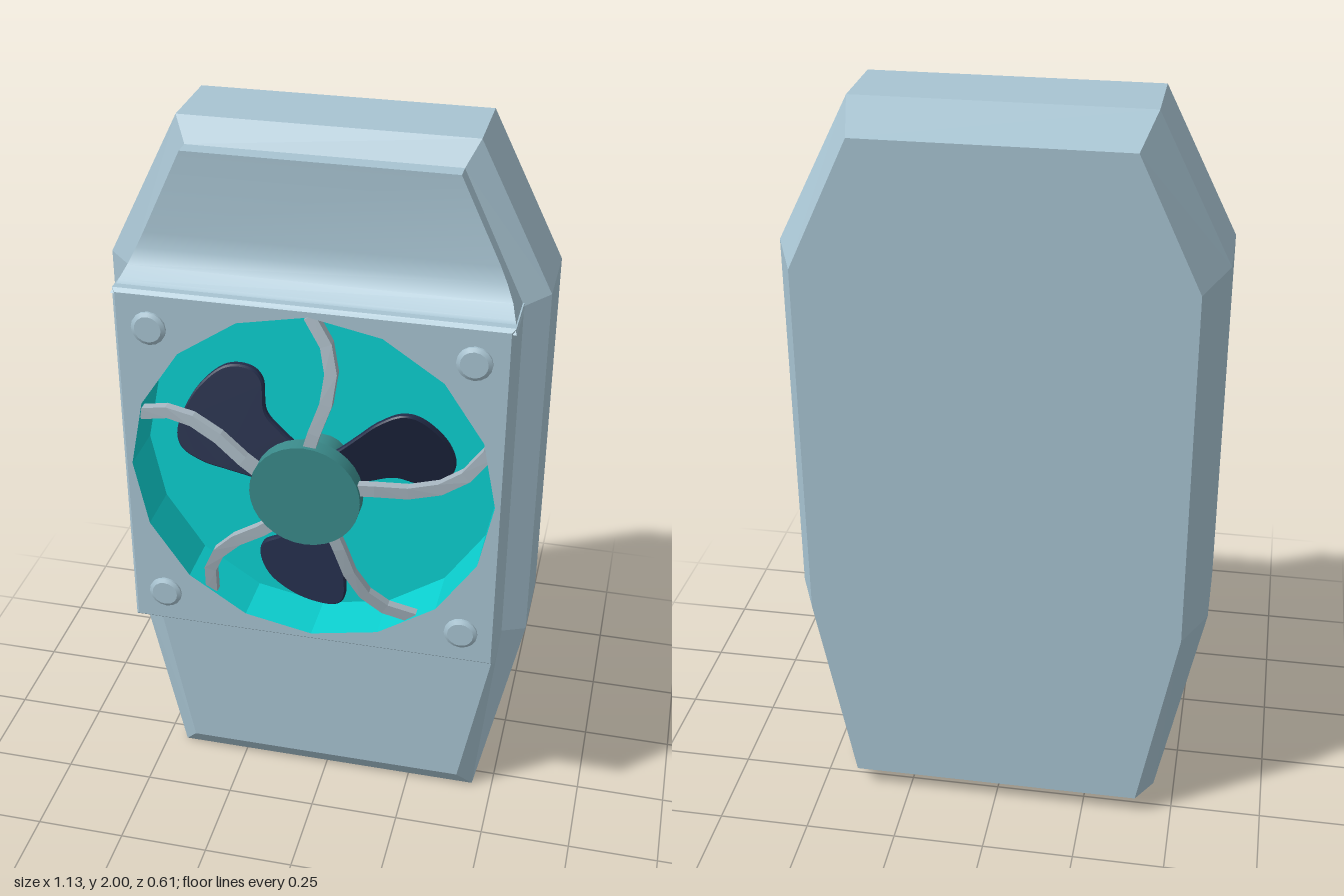
import * as THREE from 'three';
import { toCreasedNormals } from 'three/addons/utils/BufferGeometryUtils.js';

const material = (name, color, side = THREE.FrontSide) => {
  const m = new THREE.MeshStandardMaterial({ color, side });
  m.name = name;
  return m;
};

// Joins equal-sized rings of points into a faceted skin, with fan caps at the ends
function loft(rings, capStart = true, capEnd = true) {
  const n = rings[0].length, pos = [];
  const tri = (a, b, c) => pos.push(...a, ...b, ...c);
  for (let r = 0; r < rings.length - 1; r++) {
    for (let i = 0; i < n; i++) {
      const j = (i + 1) % n, a = rings[r], b = rings[r + 1];
      tri(a[i], a[j], b[j]);
      tri(a[i], b[j], b[i]);
    }
  }
  const first = rings[0], last = rings[rings.length - 1];
  for (let i = 1; i < n - 1; i++) {
    if (capStart) tri(first[0], first[i + 1], first[i]);
    if (capEnd) tri(last[0], last[i], last[i + 1]);
  }
  const g = new THREE.BufferGeometry();
  g.setAttribute('position', new THREE.Float32BufferAttribute(pos, 3));
  g.computeVertexNormals();
  return g;
}

// Cylinder along z between two depths
function disc(rFront, rBack, z0, z1, sides, open = false) {
  const g = new THREE.CylinderGeometry(rFront, rBack, z1 - z0, sides, 1, open);
  return g.rotateX(Math.PI / 2).translate(0, 0, (z0 + z1) / 2);
}

export function createModel() {
  const model = new THREE.Group();
  const shell = material('pale blue shell', 0xa8c4d2);
  const cyan = material('cyan duct', 0x0bd0d0, THREE.DoubleSide);
  const teal = material('teal hub', 0x3a8a8a);
  const navy = material('navy blades', 0x232d4a);
  const grey = material('grey guard', 0xa6b5bf);
  const add = (name, geometry, mat, parent = model) => {
    const mesh = new THREE.Mesh(geometry, mat);
    mesh.name = name;
    parent.add(mesh);
    return mesh;
  };

  // Eight-sided body with chamfered front and back
  const outline = (z, bottom, mid, top, y0, y1, y2, y3) => [
    [-bottom, y0, z], [bottom, y0, z], [mid, y1, z], [top, y2 + y3, z],
    [-top, y2 + y3, z], [-mid, y1, z]
  ].flatMap((p, i) => {
    if (i === 2) return [p, [mid, y2, z]];
    if (i === 5) return [[-mid, y2, z], p];
    return [p];
  });
  const inner = [0.40, 0.503, 0.343, 0.06, 0.61, 1.60, 0.34];
  const outer = [0.442, 0.565, 0.375, 0, 0.60, 1.62, 0.38];
  add('body', loft([
    outline(-0.305, ...inner), outline(-0.16, ...outer),
    outline(0.055, ...outer), outline(0.095, ...inner)
  ]), shell);

  // Fairing sweeping down from the top onto the fan housing
  const fairing = [[1.94, 0.14], [1.72, 0.14], [1.68, 0.148], [1.64, 0.168],
    [1.615, 0.205], [1.607, 0.215], [1.605, 0.235], [1.595, 0.244]];
  add('fairing', toCreasedNormals(loft(fairing.map(([y, z]) => {
    const w = 0.343 + (1.94 - y) / 0.34 * 0.16;
    return [[-w, y, 0.09], [w, y, 0.09], [w, y, z], [-w, y, z]];
  })), 0.6), shell);

  // Square fan housing with a thin bevelled front edge
  const cy = 1.105, R = 0.48;
  const square = (h, z) => [[-h, cy - h, z], [h, cy - h, z], [h, cy + h, z], [-h, cy + h, z]];
  add('housingSides', loft([square(0.503, 0.09), square(0.503, 0.235), square(0.494, 0.245)], true, false), shell);
  const face = new THREE.Shape(square(0.494, 0).map(([x, y]) => new THREE.Vector2(x, y)));
  const hole = [];
  for (let i = 0; i < 16; i++) {
    const a = -i * Math.PI / 8;
    hole.push(new THREE.Vector2(R * Math.cos(a), cy + R * Math.sin(a)));
  }
  face.holes.push(new THREE.Path(hole));
  add('housingFace', new THREE.ShapeGeometry(face).translate(0, 0, 0.245), shell);

  // Corner bolts
  for (const x of [-0.41, 0.41]) for (const y of [-0.405, 0.405]) {
    const bolt = new THREE.Group();
    bolt.name = 'bolt';
    bolt.position.set(x, cy + y, 0);
    add('boltBase', disc(0.045, 0.045, 0.24, 0.251, 16), shell, bolt);
    add('boltCap', disc(0.035, 0.045, 0.251, 0.257, 16), shell, bolt);
    model.add(bolt);
  }

  // Everything round the fan axis
  const fan = new THREE.Group();
  fan.name = 'fan';
  fan.position.y = cy;
  model.add(fan);
  const duct = disc(R, R, 0.1, 0.245, 16, true).toNonIndexed();
  duct.computeVertexNormals();
  add('ductWall', duct, cyan, fan);
  add('ductFloor', disc(R, R, 0.097, 0.1, 16), cyan, fan);
  add('shaft', disc(0.07, 0.07, 0.1, 0.262, 20), teal, fan);
  add('hub', disc(0.145, 0.145, 0.26, 0.305, 32), teal, fan);

  // Three pitched blades
  const edge = [[-0.05, -0.06], [-0.065, -0.14], [-0.085, -0.2], [-0.145, -0.25], [-0.153, -0.3],
    [-0.12, -0.35], [-0.04, -0.375], [0.05, -0.365], [0.092, -0.33], [0.095, -0.265],
    [0.08, -0.2], [0.065, -0.14], [0.05, -0.06]].map(p => new THREE.Vector2(...p));
  const bladeShape = new THREE.Shape().moveTo(edge[0].x, edge[0].y);
  bladeShape.splineThru(edge.slice(1));
  const blade = new THREE.ExtrudeGeometry(bladeShape, {
    depth: 0.012, curveSegments: 30, bevelSize: 0.004, bevelThickness: 0.005, bevelSegments: 1
  });
  const bp = blade.attributes.position;
  for (let i = 0; i < bp.count; i++) bp.setZ(i, bp.getZ(i) + 0.217 + 0.38 * bp.getX(i));
  blade.computeVertexNormals();
  for (let i = 0; i < 3; i++) add('blade', blade, navy, fan).rotation.z = i * Math.PI * 2 / 3;

  // Five bent guard arms from the rim to the hub
  const path = [[0, 0.478, 0.225], [0.045, 0.41, 0.24], [0.06, 0.34, 0.254], [0.05, 0.26, 0.268],
    [0.022, 0.18, 0.28], [0.008, 0.13, 0.284]].map(p => new THREE.Vector3(...p));
  const arm = loft(path.map((p, i) => {
    const d = path[Math.min(i + 1, path.length - 1)].clone().sub(path[Math.max(i - 1, 0)]).setZ(0).normalize();
    const ux = -d.y * 0.016, uy = d.x * 0.016, h = 0.012;
    return [[-1, -1], [1, -1], [1, 1], [-1, 1]].map(([s, t]) => [p.x + s * ux, p.y + s * uy, p.z + t * h]);
  }));
  for (let i = 0; i < 5; i++) add('guardArm', arm, grey, fan).rotation.z = i * Math.PI * 2 / 5;

  return model;
}
